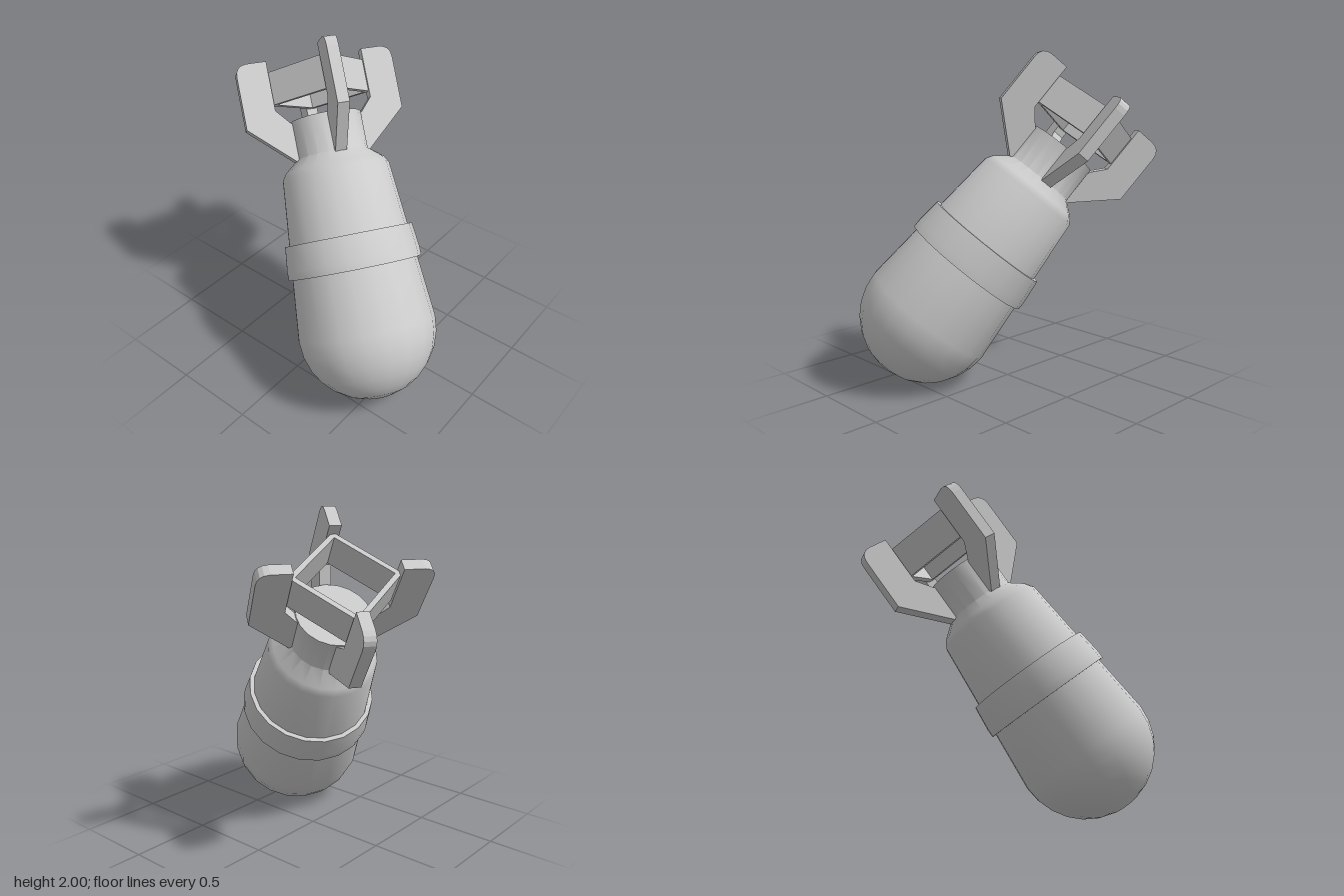
import * as THREE from 'three';
import { toCreasedNormals } from 'three/addons/utils/BufferGeometryUtils.js';

const SIDES = 20;
const material = new THREE.MeshStandardMaterial({ color: 0xcccccc });

function addMesh(parent, name, geometry) {
  const mesh = new THREE.Mesh(geometry, material);
  mesh.name = name;
  parent.add(mesh);
  return mesh;
}

function lathe(points) {
  const profile = points.map(([r, y]) => new THREE.Vector2(r, y));
  return toCreasedNormals(new THREE.LatheGeometry(profile, SIDES), 0.9);
}

// Fin outline: x is the distance from the axis, y runs along it
function finGeometry(thickness) {
  const s = new THREE.Shape();
  s.moveTo(0.17, 1.02);
  s.lineTo(0.22, 1.05);
  s.lineTo(0.49, 1.29);
  s.lineTo(0.49, 1.61);
  s.quadraticCurveTo(0.49, 1.68, 0.42, 1.685);
  s.lineTo(0.3, 1.685);
  s.lineTo(0.3, 1.38);
  s.lineTo(0.22, 1.29);
  s.lineTo(0.17, 1.29);
  s.closePath();
  const g = new THREE.ExtrudeGeometry(s, { depth: thickness, bevelEnabled: false, curveSegments: 4 });
  return g.translate(0, 0, -thickness / 2);
}

export function createModel() {
  const model = new THREE.Group();
  model.name = 'finnedBomb';

  // Built upright, with the centre of the round nose at the origin
  const bomb = new THREE.Group();
  bomb.name = 'bomb';
  model.add(bomb);

  // Round nose, tapered body, shoulder and neck in one profile
  const profile = [];
  for (let i = 0; i <= 7; i++) {
    const a = (i / 7) * Math.PI / 2;
    profile.push([0.42 * Math.sin(a), -0.42 * Math.cos(a)]);
  }
  profile.push([0.33, 0.96], [0.305, 1.0], [0.22, 1.07], [0.22, 1.3], [0, 1.3]);
  addMesh(bomb, 'body', lathe(profile));

  // Raised band around the middle
  addMesh(bomb, 'band', lathe([[0.36, 0.37], [0.41, 0.37], [0.41, 0.42], [0.393, 0.57], [0.34, 0.57]]));

  // Four tail fins, with a square frame joining them
  const fin = finGeometry(0.07);
  const corner = 0.31;
  const plate = new THREE.BoxGeometry(corner * Math.SQRT2, 0.2, 0.03);
  plate.translate(0, 1.52, corner / Math.SQRT2 - 0.01);
  for (let i = 0; i < 4; i++) {
    addMesh(bomb, 'tailFin', fin).rotation.y = i * Math.PI / 2;
    addMesh(bomb, 'framePlate', plate).rotation.y = (i + 0.5) * Math.PI / 2;
  }

  // Lean the whole body over, nose down towards the front right
  const axis = new THREE.Vector3(0.354, 0.77, -0.531).normalize();
  const across = new THREE.Vector3(-axis.z, 0, axis.x).normalize();
  const up = new THREE.Vector3().crossVectors(across, axis);
  bomb.quaternion.setFromRotationMatrix(new THREE.Matrix4().makeBasis(across, axis, up));
  bomb.position.set(-0.29, 0.42, 0.39);
  return model;
}
